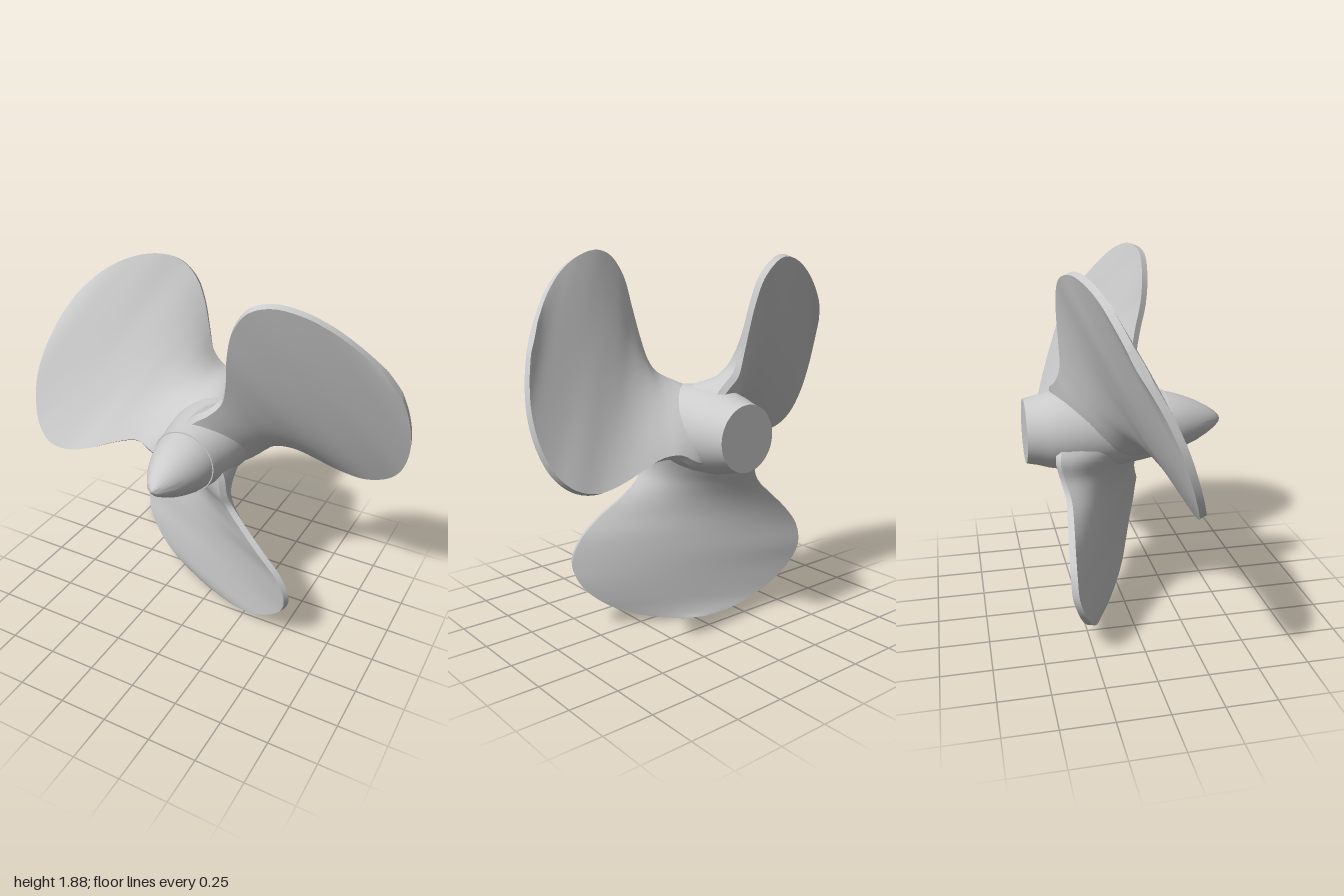
import * as THREE from 'three';
import { toCreasedNormals } from 'three/addons/utils/BufferGeometryUtils.js';

const grey = new THREE.MeshStandardMaterial({ color: 0xcccccc });
const AXIS_Y = 1.03;

// Blade stations: [distance from axis, left x, left z, right x, right z, half thickness]
const STATIONS = [
  [0.00, -0.15, -0.34, 0.13, 0.12, 0.17],
  [0.10, -0.20, -0.37, 0.165, 0.12, 0.15],
  [0.20, -0.205, -0.35, 0.175, 0.11, 0.10],
  [0.28, -0.25, -0.33, 0.20, 0.085, 0.065],
  [0.37, -0.345, -0.335, 0.29, 0.105, 0.042],
  [0.46, -0.44, -0.345, 0.405, 0.14, 0.032],
  [0.56, -0.515, -0.35, 0.51, 0.155, 0.028],
  [0.67, -0.54, -0.345, 0.56, 0.155, 0.026],
  [0.77, -0.515, -0.315, 0.54, 0.13, 0.025],
  [0.87, -0.435, -0.275, 0.455, 0.09, 0.024],
  [0.95, -0.32, -0.23, 0.33, 0.04, 0.023],
  [1.00, -0.195, -0.19, 0.185, -0.025, 0.022],
  [1.025, -0.09, -0.155, 0.05, -0.095, 0.021],
];

// Twisted blade pointing down: lens sections with a blunt rim, lofted along the radius
function bladeGeometry() {
  const spline = (f) => new THREE.CatmullRomCurve3(STATIONS.map(f));
  const left = spline((s) => new THREE.Vector3(s[1], -s[0], s[2]));
  const right = spline((s) => new THREE.Vector3(s[3], -s[0], s[4]));
  const thick = spline((s) => new THREE.Vector3(s[5], s[0], 0));
  const rows = 48, n = 16, ring = 2 * (n + 1), rim = 0.017;
  const pos = [], index = [];
  for (let i = 0; i <= rows; i++) {
    const a = left.getPoint(i / rows), b = right.getPoint(i / rows);
    const h = thick.getPoint(i / rows).x;
    const c = b.clone().sub(a).setY(0).normalize();
    const normal = new THREE.Vector3(-c.z, 0, c.x);
    for (let j = 0; j < ring; j++) {
      const front = j <= n;
      const u = (front ? j : ring - 1 - j) / n;
      const bulge = 1 - (2 * u - 1) ** 2;
      const v = (rim + (h - rim) * bulge) * (front ? 1 : -1);
      const p = a.clone().lerp(b, u).addScaledVector(normal, v);
      pos.push(p.x, p.y, p.z);
    }
  }
  for (let i = 0; i < rows; i++) {
    for (let j = 0; j < ring; j++) {
      const k = (j + 1) % ring, r = i * ring, q = r + ring;
      index.push(r + j, q + j, q + k, r + j, q + k, r + k);
    }
  }
  // tip cap
  const t = rows * ring;
  for (let j = 1; j < ring - 1; j++) index.push(t, t + j + 1, t + j);
  const g = new THREE.BufferGeometry();
  g.setAttribute('position', new THREE.Float32BufferAttribute(pos, 3));
  g.setIndex(index);
  return toCreasedNormals(g, 0.7);
}

// Turned part about the z axis from [radius, z] points
function turned(name, profile) {
  const pts = profile.map(([r, z]) => new THREE.Vector2(r, z));
  const g = new THREE.LatheGeometry(pts, 48).rotateX(Math.PI / 2);
  const mesh = new THREE.Mesh(toCreasedNormals(g, 0.6), grey);
  mesh.name = name;
  return mesh;
}

export function createModel() {
  const model = new THREE.Group();
  model.name = 'propeller';
  const rotor = new THREE.Group();
  rotor.name = 'rotor';
  rotor.position.y = AXIS_Y;
  model.add(rotor);

  // Hub flaring gently where the blades join, flat at the back
  rotor.add(turned('hub', [
    [0, -0.51], [0.162, -0.51], [0.172, -0.46], [0.19, -0.40], [0.207, -0.32],
    [0.213, -0.22], [0.21, -0.12], [0.2, -0.02], [0.185, 0.08], [0.17, 0.16],
    [0.165, 0.205], [0, 0.205],
  ]));
  // Pointed nose
  rotor.add(turned('noseCone', [
    [0.16, 0.2], [0.15, 0.25], [0.13, 0.31], [0.105, 0.37], [0.075, 0.425],
    [0.045, 0.47], [0.02, 0.495], [0, 0.505],
  ]));

  // Three identical blades
  const geometry = bladeGeometry();
  for (let i = 0; i < 3; i++) {
    const blade = new THREE.Mesh(geometry, grey);
    blade.name = `blade${i + 1}`;
    blade.rotation.z = (i * 2 * Math.PI) / 3;
    rotor.add(blade);
  }
  return model;
}
